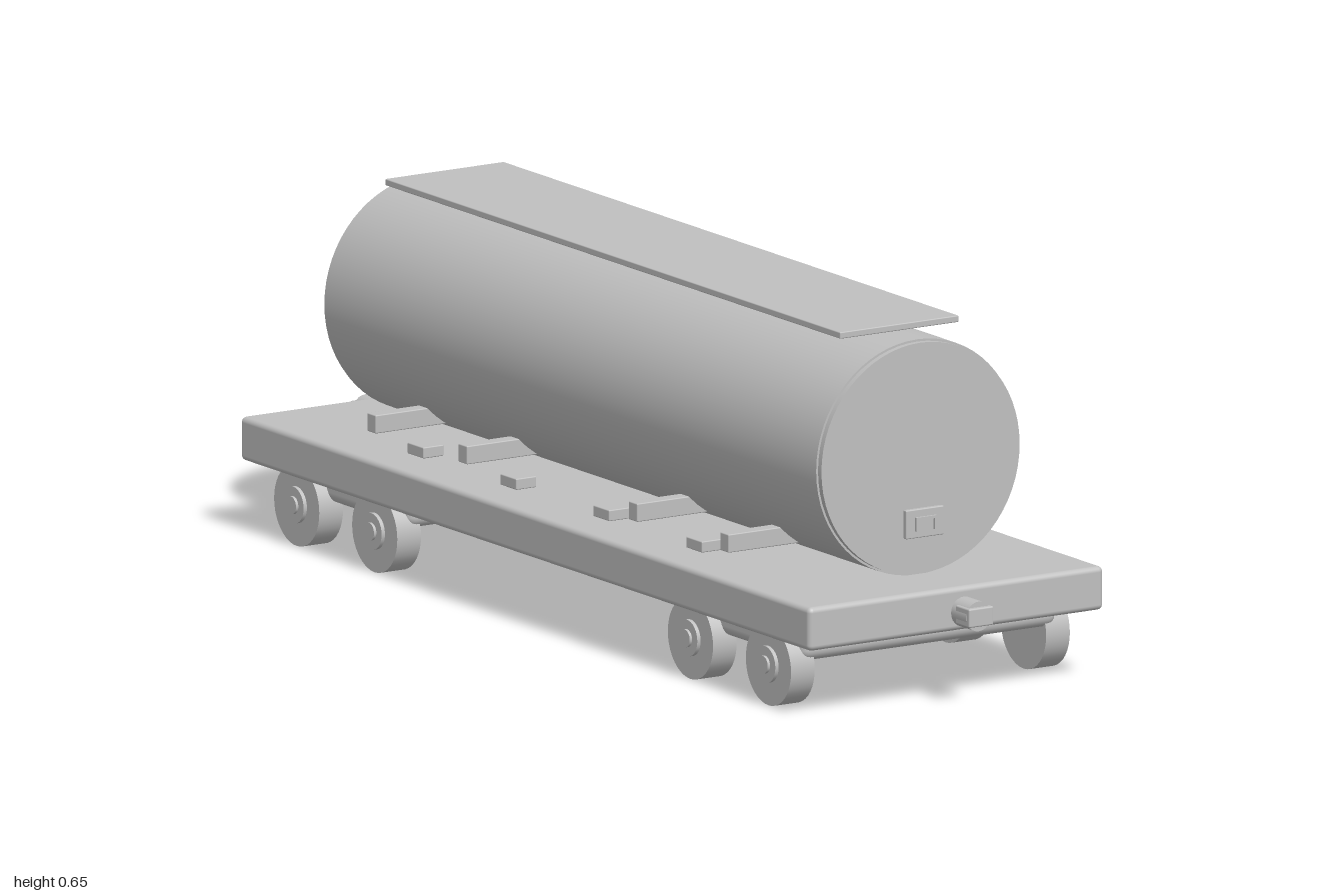
import * as THREE from 'three';
import { RoundedBoxGeometry } from 'three/addons/geometries/RoundedBoxGeometry.js';

const grey = new THREE.MeshStandardMaterial({ color: 0xc0c0c0 });
grey.name = 'plain grey';

export function createModel() {
  const model = new THREE.Group();
  model.name = 'tankWagon';

  const add = (name, geometry, x, y, z) => {
    const mesh = new THREE.Mesh(geometry, grey);
    mesh.name = name;
    mesh.position.set(x, y, z);
    model.add(mesh);
    return mesh;
  };
  const box = (name, w, h, d, x, y, z, r = 0) =>
    add(name, r ? new RoundedBoxGeometry(w, h, d, 3, r) : new THREE.BoxGeometry(w, h, d), x, y, z);
  // Cylinders along z or x
  const cylZ = (name, r, len, x, y, z, seg = 24) =>
    add(name, new THREE.CylinderGeometry(r, r, len, seg).rotateX(Math.PI / 2), x, y, z);
  const cylX = (name, r, len, x, y, z, seg = 32) =>
    add(name, new THREE.CylinderGeometry(r, r, len, seg).rotateZ(Math.PI / 2), x, y, z);

  // Deck
  box('deck', 0.622, 0.079, 1.84, 0, 0.1675, 0, 0.01);

  // Tank with slightly smaller end caps
  cylZ('tank', 0.213, 1.584, 0, 0.419, 0, 64);
  for (const s of [-1, 1]) cylZ('tankEndCap', 0.209, 0.012, 0, 0.419, s * 0.797, 64);

  // Walkway above the tank
  box('roofWalkway', 0.25, 0.012, 1.47, 0, 0.643, 0, 0.002);

  // Saddle beams across the deck
  for (const z of [-0.57, -0.275, 0.275, 0.57])
    box('saddleBeam', 0.524, 0.033, 0.028, 0, 0.2545, z, 0.002);

  // Small blocks along both sides
  for (const z of [-0.45, -0.15, 0.15, 0.45])
    for (const s of [-1, 1]) box('sideBlock', 0.043, 0.02, 0.052, s * 0.226, 0.226, z, 0.002);

  // Couplers
  for (const s of [-1, 1]) {
    cylZ('couplerShank', 0.027, 0.048, 0, 0.168, s * 0.967);
    box('couplerHead', 0.052, 0.034, 0.045, 0, 0.168, s * 0.9775, 0.003);
  }

  // Front plate with a small raised bracket
  box('frontPlate', 0.08, 0.052, 0.01, 0, 0.305, 0.813, 0.002);
  box('frontBracketTop', 0.044, 0.005, 0.006, 0, 0.3145, 0.82);
  for (const s of [-1, 1]) box('frontBracketSide', 0.005, 0.025, 0.006, s * 0.0195, 0.3045, 0.82);

  // Rear valve panel with three knobs
  box('rearPanel', 0.166, 0.075, 0.018, 0, 0.28, -0.823, 0.003);
  for (const x of [-0.053, 0, 0.053]) cylZ('rearKnob', 0.015, 0.022, x, 0.28, -0.842);

  // Bogies: frame, wheels and hubs
  for (const end of [-1, 1]) {
    box('bogieFrame', 0.54, 0.065, 0.4, 0, 0.1195, end * 0.636, 0.02);
    for (const z of [0.51, 0.762])
      for (const s of [-1, 1]) {
        cylX('wheel', 0.073, 0.05, s * 0.269, 0.073, end * z, 40);
        cylX('wheelHub', 0.033, 0.008, s * 0.297, 0.075, end * z);
        cylX('axleCap', 0.016, 0.006, s * 0.303, 0.075, end * z);
      }
  }
  return model;
}
